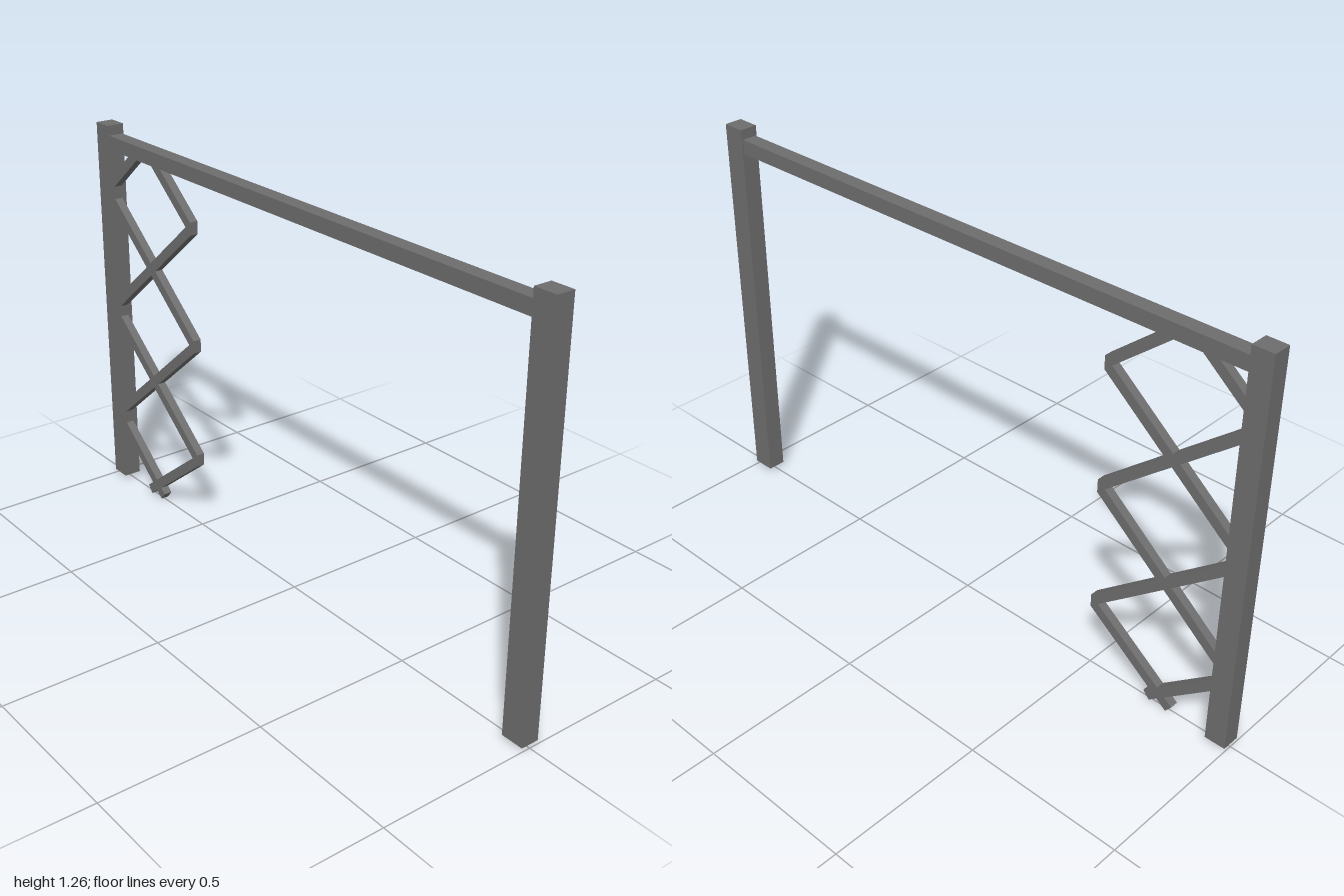
import * as THREE from 'three';

const material = new THREE.MeshStandardMaterial({ color: 0x6d6d6d, flatShading: true });

function addBox(parent, name, size, position) {
  const mesh = new THREE.Mesh(new THREE.BoxGeometry(...size), material);
  mesh.name = name;
  mesh.position.set(...position);
  parent.add(mesh);
}

// Slanted bar in the z-y plane; its start may be cut upright to form a mitred elbow
function addBar(parent, [z0, y0], [z1, y1], mitred) {
  const thickness = 0.032, width = 0.027;
  const dir = new THREE.Vector2(z1 - z0, y1 - y0).normalize();
  const nz = -dir.y * thickness / 2, ny = dir.x * thickness / 2;
  const cutZ = mitred ? 0 : nz;
  const cutY = mitred ? thickness / 2 / dir.x : ny;
  const shape = new THREE.Shape([
    new THREE.Vector2(z0 + cutZ, y0 + cutY),
    new THREE.Vector2(z1 + nz, y1 + ny),
    new THREE.Vector2(z1 - nz, y1 - ny),
    new THREE.Vector2(z0 - cutZ, y0 - cutY),
  ]);
  const geometry = new THREE.ExtrudeGeometry(shape, { depth: width, bevelEnabled: false });
  geometry.translate(0, 0, -width / 2);
  geometry.rotateY(-Math.PI / 2);
  const mesh = new THREE.Mesh(geometry, material);
  mesh.name = 'scissorBar';
  parent.add(mesh);
}

export function createModel() {
  const model = new THREE.Group();
  model.name = 'gateFrame';

  // Two posts joined by the top rail
  addBox(model, 'frontPost', [0.058, 1.248, 0.073], [0, 0.636, 0.9635]);
  addBox(model, 'backPost', [0.058, 1.248, 0.066], [0, 0.636, -0.967]);
  addBox(model, 'topRail', [0.048, 0.046, 1.87], [0, 1.205, 0]);

  // Folding lattice beside the back post
  const lattice = new THREE.Group();
  lattice.name = 'scissorLattice';
  model.add(lattice);

  // Each elbow with the far ends of its rising and falling bars
  const elbows = [
    { y: 1.026, up: [-0.715, 1.203], down: [-0.96, 0.645] },
    { y: 0.638, up: [-0.96, 1.018], down: [-0.96, 0.256] },
    { y: 0.238, up: [-0.96, 0.61], down: [-0.796, 0.0125] },
  ];
  for (const { y, up, down } of elbows) {
    addBar(lattice, [-0.5, y], up, true);
    addBar(lattice, [-0.5, y], down, true);
  }

  // Short bars at the top and bottom of the lattice
  addBar(lattice, [-0.785, 1.203], [-0.96, 1.058], false);
  addBar(lattice, [-0.717, 0.016], [-0.96, 0.215], false);

  return model;
}
